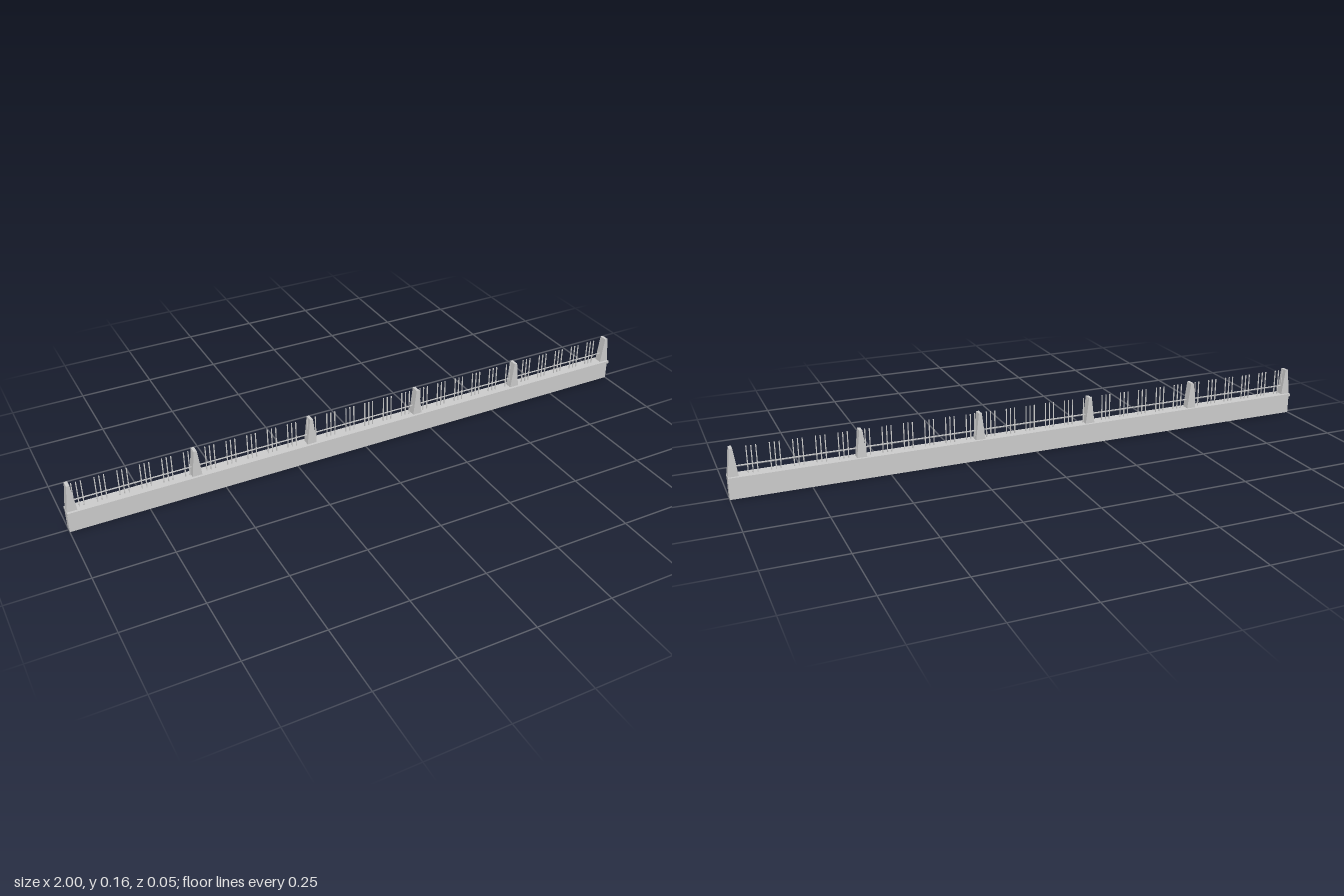
import * as THREE from 'three';

export function createModel() {
  const model = new THREE.Group();
  const material = new THREE.MeshStandardMaterial({ color: 0xcccccc, flatShading: true });

  function add(name, geometry, x, y, z = 0) {
    const mesh = new THREE.Mesh(geometry, material);
    mesh.name = name;
    mesh.position.set(x, y, z);
    model.add(mesh);
  }

  // Long low wall with an overhanging coping
  add('wall', new THREE.BoxGeometry(2, 0.065, 0.027), 0, 0.0325);
  add('coping', new THREE.BoxGeometry(2, 0.009, 0.045), 0, 0.0685);

  // Posts that taper along the wall only
  const profile = new THREE.Shape();
  profile.moveTo(-0.016, 0);
  profile.lineTo(0.016, 0);
  profile.lineTo(0.005, 0.09);
  profile.lineTo(-0.005, 0.09);
  profile.closePath();
  const post = new THREE.ExtrudeGeometry(profile, { depth: 0.027, bevelEnabled: false });
  post.translate(0, 0, -0.0135);
  for (let i = 0; i < 6; i++) add('post', post, -0.983 + i * 0.3932, 0.073);

  // Horizontal rail through all posts
  add('rail', new THREE.BoxGeometry(1.966, 0.003, 0.003), 0, 0.102);

  // Upright bars in groups of three
  const bar = new THREE.BoxGeometry(0.003, 0.088, 0.003);
  for (let group = 0; group < 28; group++) {
    for (let k = -1; k <= 1; k++) {
      add('bar', bar, -0.957 + group * 0.0696 + k * 0.0145, 0.117);
    }
  }
  return model;
}
